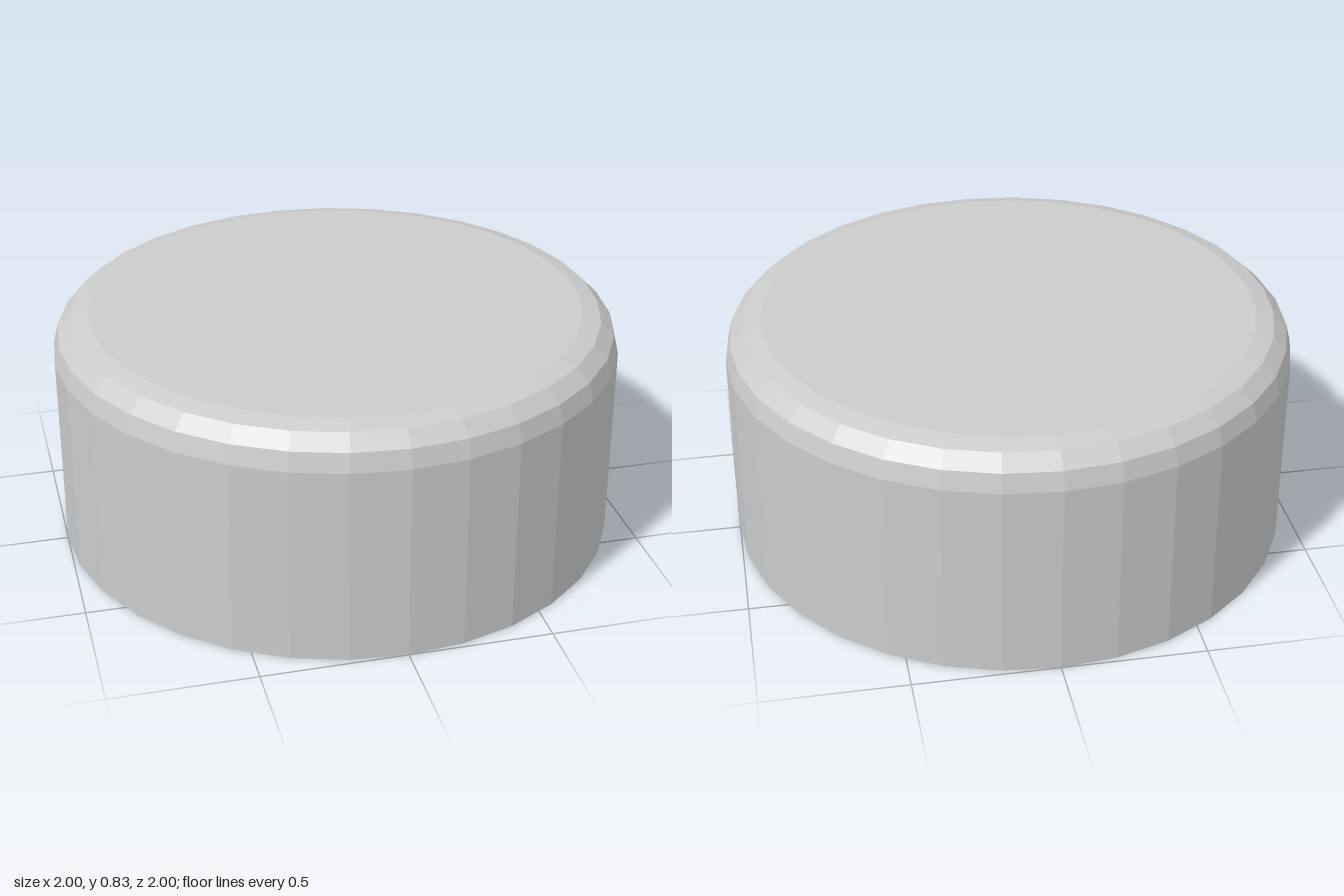
import * as THREE from 'three';

const SIDES = 32;
const BEVEL_CENTRE = new THREE.Vector2(0.87, 0.7); // shared centre of both rounded shoulders
const OUTER_BEVEL = 0.13;
const WALL = 0.075;

// Quarter-round shoulder in three steps, from the wall up to the flat top
function shoulder(radius) {
  return [0, 1, 2, 3].map((i) => {
    const a = (i * Math.PI) / 6;
    return new THREE.Vector2(
      BEVEL_CENTRE.x + radius * Math.cos(a),
      BEVEL_CENTRE.y + radius * Math.sin(a)
    );
  });
}

export function createModel() {
  const group = new THREE.Group();
  group.name = 'cap';

  const outer = shoulder(OUTER_BEVEL);
  const inner = shoulder(OUTER_BEVEL - WALL).reverse();

  // Hollow shell: inner ceiling, inner wall, bottom rim, outer wall, top
  const profile = [
    new THREE.Vector2(0, inner[0].y),
    ...inner,
    new THREE.Vector2(inner[3].x, 0),
    new THREE.Vector2(outer[0].x, 0),
    ...outer,
    new THREE.Vector2(0, outer[3].y),
  ];

  const shell = new THREE.Mesh(
    new THREE.LatheGeometry(profile, SIDES),
    new THREE.MeshStandardMaterial({ color: 0xcccccc, flatShading: true })
  );
  shell.name = 'capShell';
  group.add(shell);

  return group;
}
